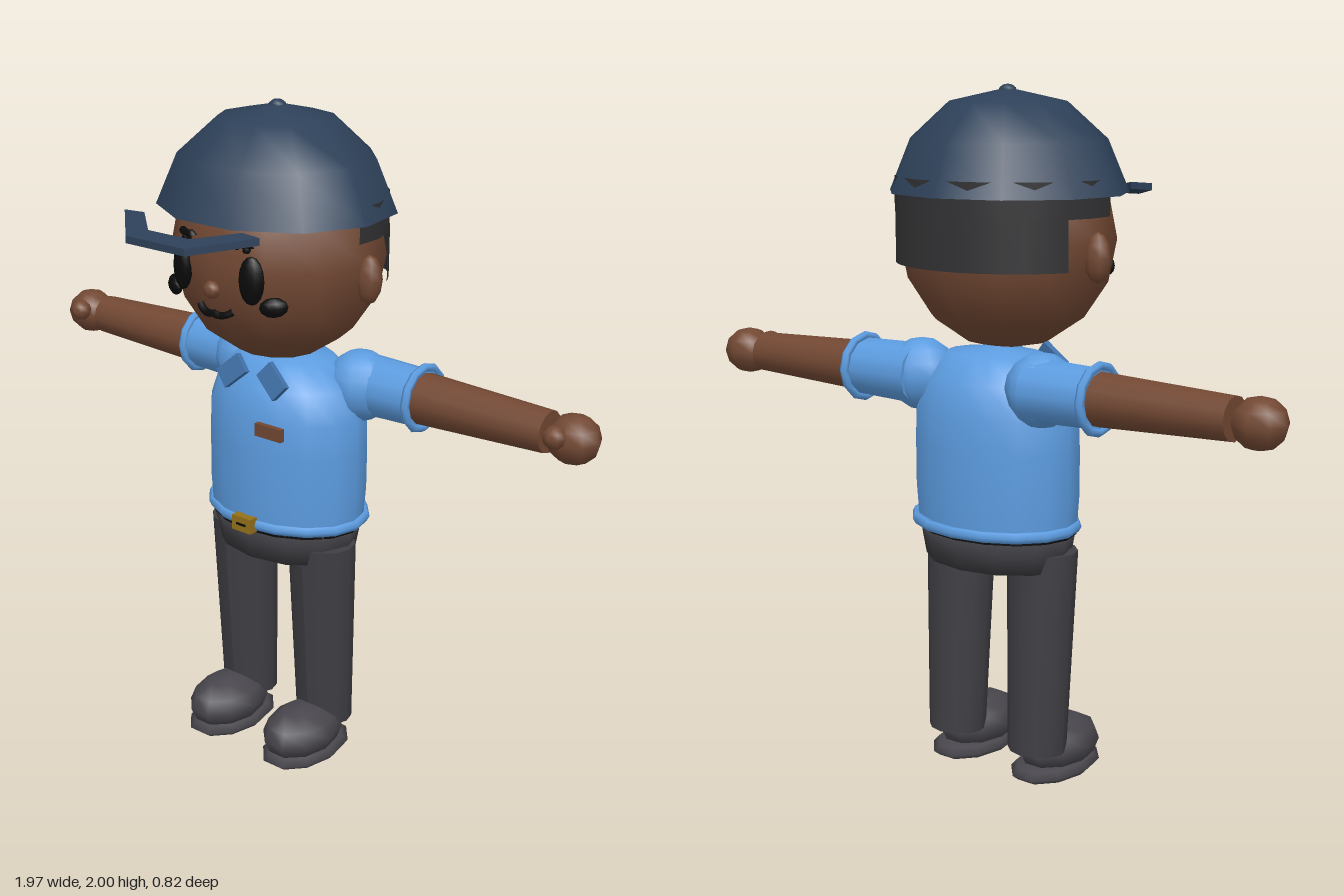
import * as THREE from 'three';

const mat = (name, color, side = THREE.FrontSide) => {
  const m = new THREE.MeshStandardMaterial({ color, side });
  m.name = name;
  return m;
};

export function createModel() {
  const root = new THREE.Group();
  root.name = 'capWearingFigure';
  const skin = mat('brown skin', 0x724833);
  const blue = mat('shirt blue', 0x5c9ce0, THREE.DoubleSide);
  const collarBlue = mat('collar blue', 0x4173ab);
  const navy = mat('cap navy', 0x2d4058, THREE.DoubleSide);
  const hair = mat('hair charcoal', 0x323234, THREE.DoubleSide);
  const pants = mat('trouser grey', 0x3f3e43);
  const shoe = mat('shoe grey', 0x48464c);
  const black = mat('black', 0x0a0a0a);
  const gold = mat('buckle gold', 0x94701a);

  const add = (name, geo, material, pos = [0, 0, 0], rot = [0, 0, 0], scale = [1, 1, 1]) => {
    const m = new THREE.Mesh(geo, material);
    m.name = name;
    m.position.set(...pos);
    m.rotation.set(...rot);
    m.scale.set(...scale);
    root.add(m);
    return m;
  };
  const ball = (name, material, pos, radii, rot, ws = 12, hs = 8) =>
    add(name, new THREE.SphereGeometry(1, ws, hs), material, pos, rot, radii);
  const lathe = (pts, n, start = 0, length = Math.PI * 2) =>
    new THREE.LatheGeometry(pts.map(p => new THREE.Vector2(...p)), n, start, length);
  const tube = (pts, r) => new THREE.TubeGeometry(
    new THREE.CatmullRomCurve3(pts.map(p => new THREE.Vector3(...p))), 10, r, 6);

  // Head and nose
  ball('head', skin, [0, 1.58, -0.095], [0.318, 0.315, 0.29]);
  ball('nose', skin, [0, 1.518, 0.185], [0.026, 0.026, 0.024], undefined, 8, 6);
  add('mouth', tube([[-0.06, 1.462, 0.165], [-0.045, 1.452, 0.172], [-0.02, 1.445, 0.177], [0, 1.45, 0.18],
    [0.02, 1.445, 0.177], [0.045, 1.452, 0.172], [0.06, 1.462, 0.165]], 0.011), black);

  // Hair shell: a tall band at the back, a shorter one reaching the temples
  const hairBand = (name, y0, y1, half) => add(name,
    lathe([[1, y0], [1, y1]], 12, Math.PI - half, half * 2), hair, [0, 0, -0.095], undefined, [0.325, 1, 0.295]);
  hairBand('backHair', 1.51, 1.66, 1.17);
  hairBand('sideHair', 1.65, 1.75, 1.72);

  // Cap: dome, button and separate visor
  add('capDome', lathe([[0.353, 1.705], [0.29, 1.85], [0.172, 1.953], [0, 1.99]], 11, Math.PI / 11),
    navy, [0, 0, -0.09], undefined, [1, 1, 0.91]);
  ball('capButton', navy, [0, 1.98, -0.09], [0.026, 0.02, 0.026], undefined, 8, 6);
  const brim = new THREE.Shape([[-0.242, 0.27], [-0.105, 0.407], [0.105, 0.407], [0.242, 0.27],
    [0.175, 0.262], [0.075, 0.352], [-0.075, 0.352], [-0.175, 0.262]].map(p => new THREE.Vector2(...p)));
  const visor = new THREE.ExtrudeGeometry(brim, { depth: 0.02, bevelEnabled: false }).rotateX(Math.PI / 2);
  const vp = visor.attributes.position;
  for (let i = 0; i < vp.count; i++) vp.setY(i, vp.getY(i) + (0.407 - vp.getZ(i)) * 0.18);
  visor.computeVertexNormals();
  add('capVisor', visor, navy, [0, 1.694, 0]);

  // Shirt and hem
  add('shirtBody', lathe([[0.252, 0.765], [0.26, 0.87], [0.26, 1.0], [0.256, 1.1], [0.225, 1.19],
    [0.15, 1.26], [0, 1.28]], 16), blue, [0, 0, -0.145], undefined, [1, 1, 0.74]);
  add('shirtHem', new THREE.TorusGeometry(0.252, 0.017, 6, 16).rotateX(Math.PI / 2), blue,
    [0, 0.775, -0.15], undefined, [1, 1, 0.76]);
  add('belt', new THREE.CylinderGeometry(0.25, 0.25, 0.015, 16), black,
    [0, 0.758, -0.145], undefined, [1, 1, 0.75]);

  // Buckle with its slot, and chest badge
  add('buckle', new THREE.BoxGeometry(0.07, 0.046, 0.03), gold, [0, 0.777, 0.053]);
  add('buckleSlot', new THREE.BoxGeometry(0.036, 0.007, 0.006), black, [0, 0.777, 0.067]);
  add('chestBadge', new THREE.BoxGeometry(0.094, 0.038, 0.016), skin, [0.127, 1.105, 0.092]);

  // Hips
  add('hips', lathe([[0, 0.658], [0.228, 0.658], [0.238, 0.71], [0.247, 0.76], [0, 0.76]], 12),
    pants, [0, 0, -0.143], undefined, [1, 1, 0.74]);

  for (const s of [1, -1]) {
    const side = s > 0 ? 'left' : 'right';

    // Face details
    ball(side + 'Ear', skin, [s * 0.318, 1.542, -0.103], [0.038, 0.07, 0.037], undefined, 8, 6);
    ball(side + 'Eye', black, [s * 0.125, 1.56, 0.166], [0.038, 0.068, 0.022], [0, s * 0.3, 0]);
    ball(side + 'Cheek', black, [s * 0.18, 1.49, 0.138], [0.04, 0.028, 0.02], [0, s * 0.6, s * 0.1], 10, 6);
    add(side + 'Brow', tube([[s * 0.075, 1.648, 0.172], [s * 0.09, 1.658, 0.17], [s * 0.105, 1.655, 0.168],
      [s * 0.13, 1.66, 0.16]], 0.011), black);
    ball(side + 'BrowDot', black, [s * 0.11, 1.643, 0.168], [0.014, 0.01, 0.012], undefined, 6, 4);

    // Collar flap
    add(side + 'Collar', new THREE.BoxGeometry(0.092, 0.062, 0.018), collarBlue,
      [s * 0.075, 1.225, 0.016], [-0.2, 0, s * -0.72]);

    // Arm: shoulder, sleeve, cuff, forearm, hand, thumb
    const along = [0, 0, s * -Math.PI / 2];
    ball(side + 'Shoulder', blue, [s * 0.215, 1.185, -0.215], [0.105, 0.105, 0.1], undefined, 10, 8);
    add(side + 'Sleeve', new THREE.CylinderGeometry(0.084, 0.09, 0.22, 12), blue, [s * 0.315, 1.187, -0.232], along);
    add(side + 'Cuff', new THREE.TorusGeometry(0.09, 0.013, 6, 12).rotateY(Math.PI / 2), blue, [s * 0.42, 1.187, -0.235]);
    add(side + 'Forearm', new THREE.CylinderGeometry(0.06, 0.077, 0.45, 12), skin, [s * 0.61, 1.187, -0.233], along);
    ball(side + 'Hand', skin, [s * 0.908, 1.185, -0.235], [0.078, 0.07, 0.072], undefined, 8, 6);
    ball(side + 'Thumb', skin, [s * 0.888, 1.205, -0.165], [0.033, 0.033, 0.033], undefined, 8, 6);

    // Leg: rings drift back and narrow toward the ankle
    const leg = new THREE.CylinderGeometry(1, 1, 1, 12, 4);
    const p = leg.attributes.position;
    for (let i = 0; i < p.count; i++) {
      const t = 0.5 - p.getY(i);
      p.setXYZ(i, p.getX(i) * (0.105 - 0.016 * t), 0.705 - 0.595 * t,
        p.getZ(i) * (0.096 - 0.018 * t) - 0.125 - 0.025 * t);
    }
    leg.computeVertexNormals();
    add(side + 'Leg', leg, pants, [s * 0.15, 0, 0]);

    // Shoe
    ball(side + 'ShoeUpper', shoe, [s * 0.15, 0.1, -0.045], [0.104, 0.08, 0.15], undefined, 10, 6);
    ball(side + 'ShoeSole', shoe, [s * 0.15, 0.037, -0.06], [0.108, 0.034, 0.17], undefined, 10, 6);
  }
  return root;
}
